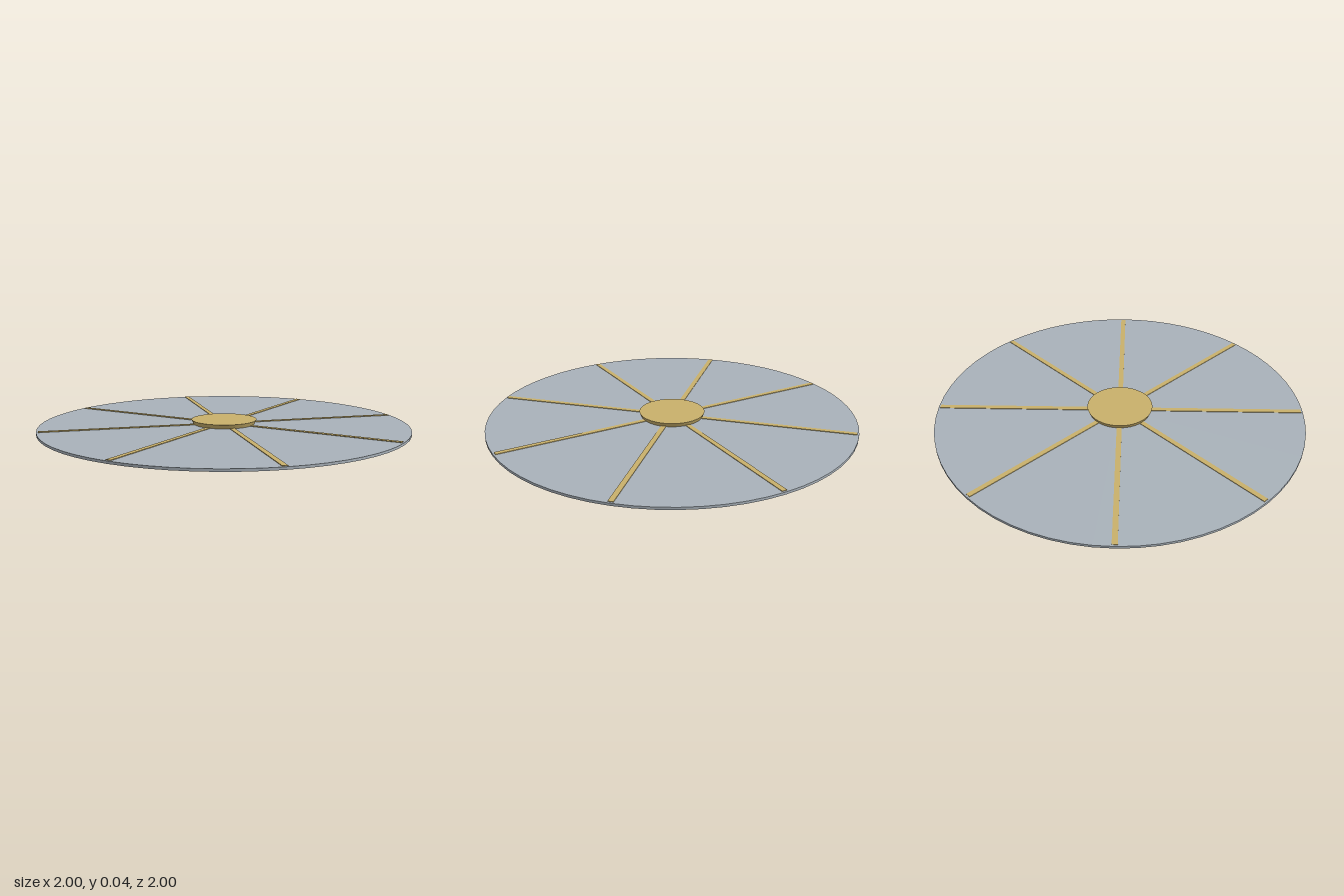
import * as THREE from 'three';

export function createModel() {
  const model = new THREE.Group();

  const greyMetal = new THREE.MeshStandardMaterial({ color: 0xa9b2ba });
  greyMetal.name = 'greyMetal';
  const brass = new THREE.MeshStandardMaterial({ color: 0xc9b06b });
  brass.name = 'brass';

  function addPart(name, geometry, material, y) {
    const mesh = new THREE.Mesh(geometry, material);
    mesh.name = name;
    mesh.position.y = y;
    model.add(mesh);
    return mesh;
  }

  // Thin round plate
  addPart('disc', new THREE.CylinderGeometry(1, 1, 0.013, 64), greyMetal, 0.0135);

  // Slightly tapered hub passing through the plate
  addPart('hub', new THREE.CylinderGeometry(0.178, 0.159, 0.043, 48), brass, 0.0215);

  // Eight radial ribs, just proud of the top face
  const ribCount = 8;
  const ribGeometry = new THREE.BoxGeometry(0.89, 0.015, 0.027);
  ribGeometry.translate(0.545, 0, 0);
  for (let i = 0; i < ribCount; i++) {
    const rib = addPart('rib' + (i + 1), ribGeometry, brass, 0.0155);
    rib.rotation.y = (i / ribCount) * Math.PI * 2;
  }

  return model;
}
